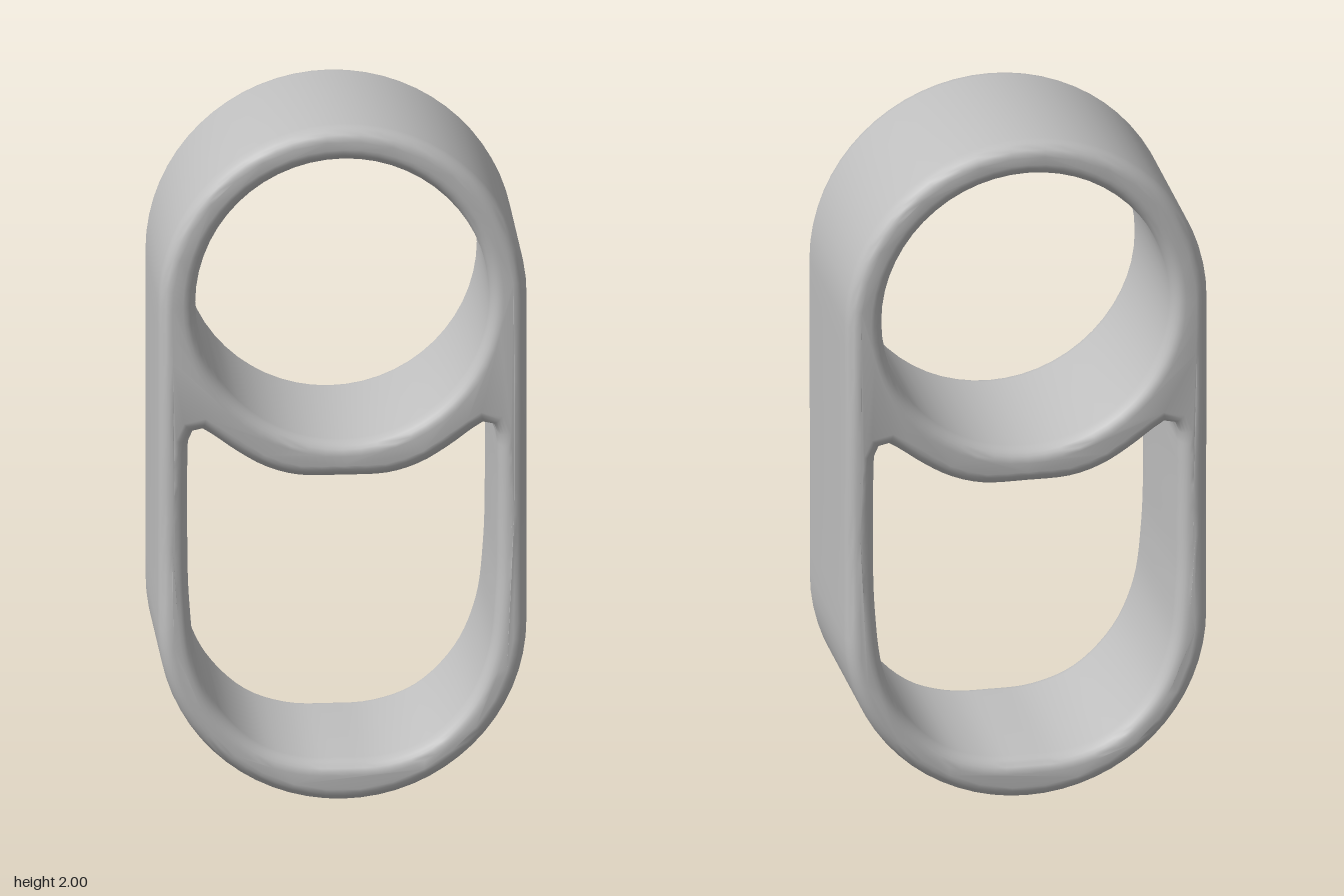
import * as THREE from 'three';
import { toCreasedNormals } from 'three/addons/utils/BufferGeometryUtils.js';

const HALF_DEPTH = 0.285;
const BEVEL = 0.038;
const BEVEL_DEPTH = 0.05;

// Closed smooth outline mirrored in x; first and last points lie on x = 0
function mirroredLoop(half, samples) {
  const other = half.slice(1, -1).reverse().map(([x, y]) => [-x, y]);
  const points = [...half, ...other].map(([x, y]) => new THREE.Vector3(x, y, 0));
  const curve = new THREE.CatmullRomCurve3(points, true, 'centripetal');
  return curve.getSpacedPoints(samples).slice(0, -1).map((p) => new THREE.Vector2(p.x, p.y));
}

// Stadium outline with subdivided straight sides
function stadium(radius, low, high, arcSteps, sideSteps) {
  const points = [];
  for (const [centre, start] of [[high, 0], [low, Math.PI]]) {
    for (let i = 0; i <= arcSteps; i++) {
      const a = start + (Math.PI * i) / arcSteps;
      points.push(new THREE.Vector2(radius * Math.cos(a), centre + radius * Math.sin(a)));
    }
    const side = start === 0 ? -1 : 1;
    const from = centre, to = start === 0 ? low : high;
    for (let i = 1; i < sideSteps; i++) {
      points.push(new THREE.Vector2(side * radius, from + ((to - from) * i) / sideSteps));
    }
  }
  return points;
}

export function createModel() {
  const group = new THREE.Group();
  const grey = new THREE.MeshStandardMaterial({ color: 0xbfbfbf });
  grey.name = 'grey';

  // Outer band
  const shape = new THREE.Shape(stadium(0.52, 0.52, 1.48, 32, 12));

  // Round upper opening
  const upper = new THREE.Path();
  upper.setFromPoints(new THREE.EllipseCurve(0, 1.482, 0.415, 0.418).getPoints(56).slice(0, -1));

  // Lower opening, its top edge following the curved crossbar
  const lower = new THREE.Path();
  lower.setFromPoints(mirroredLoop([
    [0, 0.12], [0.12, 0.126], [0.24, 0.17], [0.35, 0.28], [0.41, 0.42], [0.432, 0.6],
    [0.437, 0.8], [0.437, 1.0], [0.432, 1.085], [0.41, 1.112], [0.375, 1.095],
    [0.3, 1.04], [0.22, 0.992], [0.13, 0.964], [0, 0.96],
  ], 110));
  shape.holes.push(upper, lower);

  const geometry = new THREE.ExtrudeGeometry(shape, {
    depth: 2 * (HALF_DEPTH - BEVEL_DEPTH),
    bevelEnabled: true,
    bevelSize: BEVEL,
    bevelOffset: -BEVEL,
    bevelThickness: BEVEL_DEPTH,
    bevelSegments: 6,
  });
  geometry.translate(0, 0, -(HALF_DEPTH - BEVEL_DEPTH));

  // The band is slightly shallower beside the lower opening
  const pos = geometry.attributes.position;
  for (let i = 0; i < pos.count; i++) {
    const dip = 0.04 * Math.exp(-(((pos.getY(i) - 0.75) / 0.28) ** 2));
    pos.setZ(i, pos.getZ(i) * (1 - dip));
  }

  const frame = new THREE.Mesh(toCreasedNormals(geometry, 0.8), grey);
  frame.name = 'doubleLoopFrame';
  group.add(frame);
  return group;
}
